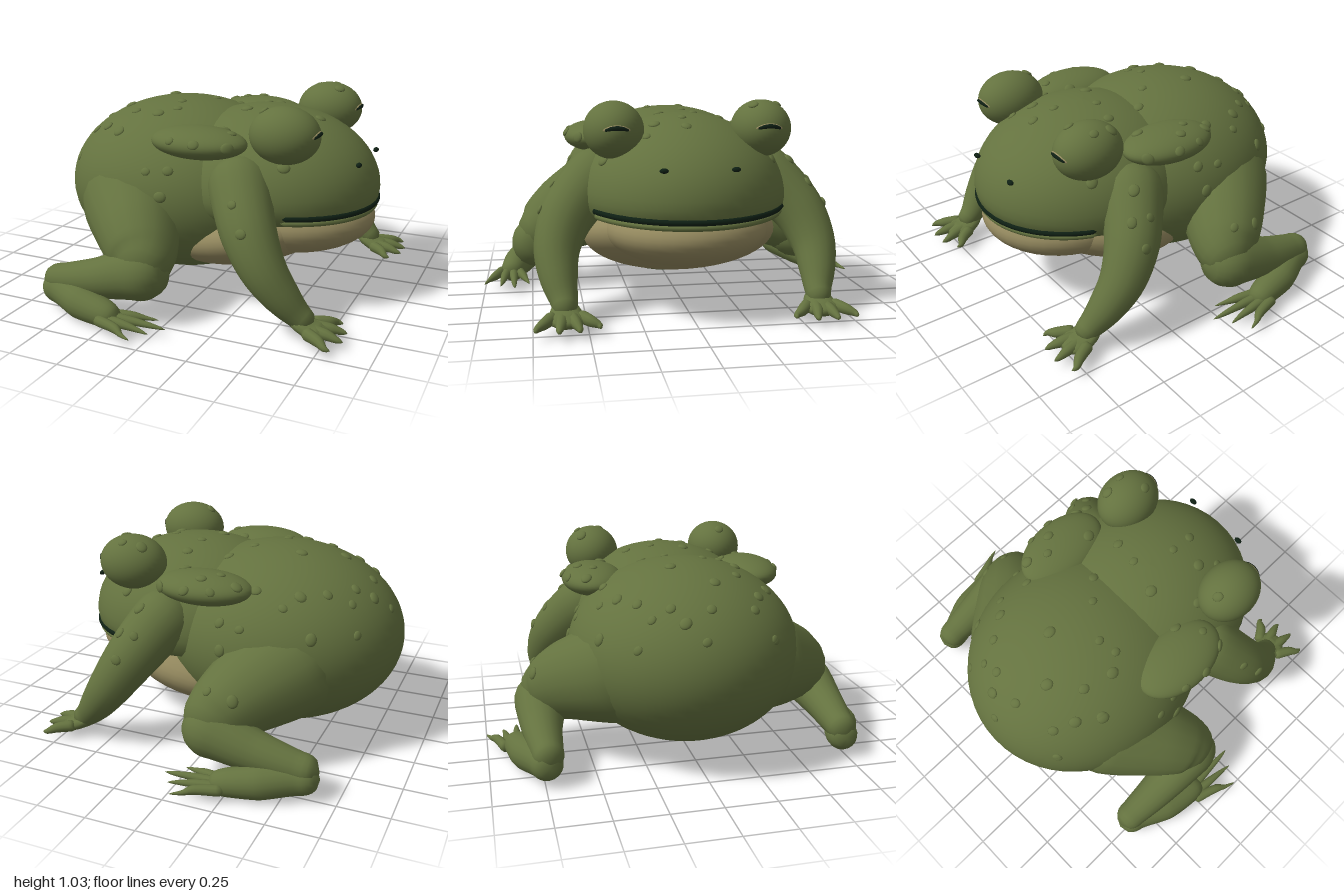
import * as THREE from 'three';
import { mergeVertices } from 'three/addons/utils/BufferGeometryUtils.js';

const mat = (name, color) => Object.assign(new THREE.MeshStandardMaterial({ color }), { name });
const V = (x, y, z) => new THREE.Vector3(x, y, z);

export function createModel() {
  const toad = new THREE.Group();
  toad.name = 'toad';
  const skin = mat('skin green', 0x64723f);
  const pale = mat('belly tan', 0x968b60);
  const dark = mat('mouth dark', 0x0f2014);

  const add = (name, geo, material, parent = toad) => {
    const m = new THREE.Mesh(geo, material);
    m.name = name;
    parent.add(m);
    return m;
  };

  const ellipsoid = (name, material, c, r, parent = toad, seg = 40) => {
    const m = add(name, new THREE.SphereGeometry(1, seg, Math.round(seg * 0.6)), material, parent);
    m.position.set(...c);
    m.scale.set(...r);
    return m;
  };

  // Round-ended tapering tube through points [x, y, z, radius]
  const limb = (name, material, pts, parent = toad, rings = 28, sides = 18, flat = 1) => {
    const curve = new THREE.CatmullRomCurve3(pts.map(p => V(p[0], p[1], p[2])));
    const geo = new THREE.TubeGeometry(curve, rings, 1, sides);
    const pos = geo.attributes.position, len = curve.getLength(), v = V(0, 0, 0);
    for (let i = 0; i <= rings; i++) {
      const u = i / rings, t = curve.getUtoTmapping(u) * (pts.length - 1);
      const k = Math.min(Math.floor(t), pts.length - 2);
      let r = THREE.MathUtils.lerp(pts[k][3], pts[k + 1][3], t - k);
      const d = Math.min(u, 1 - u) * len;
      if (d < r) r *= Math.sqrt(Math.max(0, 1 - (1 - d / r) ** 2));
      const c = curve.getPointAt(u);
      for (let j = 0; j <= sides; j++) {
        const n = i * (sides + 1) + j;
        v.fromBufferAttribute(pos, n).sub(c).multiplyScalar(r);
        pos.setXYZ(n, c.x + v.x, c.y + v.y * flat, c.z + v.z);
      }
    }
    geo.deleteAttribute('uv');
    geo.deleteAttribute('normal');
    const out = mergeVertices(geo, 1e-5);
    out.computeVertexNormals();
    return add(name, out, material, parent);
  };

  // Body, belly and throat
  ellipsoid('body', skin, [-0.22, 0.515, 0], [0.63, 0.453, 0.58], toad, 56);
  ellipsoid('belly', pale, [0.18, 0.345, 0], [0.49, 0.2, 0.49]).rotation.z = 0.22;
  ellipsoid('throat', pale, [0.36, 0.41, 0], [0.445, 0.18, 0.405]);

  // Head: domed above, flat under the jaw
  const profile = [[0, -0.11], [0.8, -0.11], [0.93, -0.09], [0.985, -0.05]];
  for (let i = 0; i <= 16; i++) {
    const a = i / 16 * Math.PI / 2;
    profile.push([Math.max(0, Math.cos(a)), 0.4 * Math.sin(a)]);
  }
  const head = add('head', new THREE.LatheGeometry(profile.map(p => new THREE.Vector2(...p)), 48), skin);
  head.position.set(0.25, 0.56, 0);
  head.scale.set(0.57, 1, 0.515);

  // Mouth line and lower lip
  const lip = (name, material, y, r, k) => {
    const pts = [];
    for (let i = -6; i <= 6; i++) {
      const a = i / 6 * 1.15;
      pts.push([0.25 + 0.57 * k * Math.cos(a), y + 0.02 * (1 - Math.cos(a)), 0.515 * k * Math.sin(a), r]);
    }
    limb(name, material, pts, toad, 48, 10);
  };
  lip('mouthLine', dark, 0.506, 0.015, 0.977);
  lip('lowerLip', skin, 0.48, 0.015, 0.96);

  for (const s of [1, -1]) {
    const side = new THREE.Group();
    side.name = s > 0 ? 'leftSide' : 'rightSide';
    toad.add(side);
    const flip = pts => pts.map(([x, y, z, r]) => [x, y, z * s, r]);

    // Eye bulge with a sleepy slit, gland behind it, nostril
    ellipsoid('eyeBulge', skin, [0.455, 0.893, 0.355 * s], [0.172, 0.137, 0.143], side);
    const slit = (name, material, y, r, half, bow, sink) => limb(name, material, flip([-1, -0.5, 0, 0.5, 1].map(q => {
      const yy = y - bow * q * q, dz = q * half;
      const x = 0.455 - sink + 0.172 * Math.sqrt(1 - ((yy - 0.893) / 0.137) ** 2 - (dz / 0.143) ** 2);
      return [x, yy, 0.355 + dz, r * (1 - 0.5 * q * q)];
    })), side, 24, 8);
    slit('eyelid', pale, 0.916, 0.013, 0.065, 0.016, 0.007);
    slit('eyeSlit', dark, 0.914, 0.012, 0.055, 0.012, 0.002);
    ellipsoid('gland', skin, [0.04, 0.833, 0.415 * s], [0.245, 0.078, 0.155], side);
    ellipsoid('nostril', dark, [0.762, 0.735, 0.163 * s], [0.014, 0.012, 0.021], side, 12);

    // Front leg and webbed hand
    limb('frontLeg', skin, flip([[0.2, 0.72, 0.32, 0.16], [0.28, 0.61, 0.46, 0.15], [0.37, 0.47, 0.58, 0.132],
      [0.46, 0.33, 0.63, 0.11], [0.55, 0.21, 0.625, 0.088], [0.63, 0.12, 0.605, 0.062], [0.7, 0.07, 0.6, 0.05]]), side);
    limb('hand', skin, flip([[0.59, 0.12, 0.605, 0.06], [0.66, 0.078, 0.6, 0.075], [0.71, 0.06, 0.597, 0.088],
      [0.78, 0.05, 0.595, 0.075]]), side, 18, 14, 0.4);
    for (const [x, z] of [[0.8, 0.455], [0.845, 0.545], [0.85, 0.635], [0.82, 0.735]]) {
      const bz = 0.6 + (z - 0.6) * 0.4;
      limb('finger', skin, flip([[0.67, 0.07, bz, 0.032], [(0.69 + x) / 2, 0.062, bz + (z - bz) * 0.6, 0.026],
        [x - 0.025, 0.05, z, 0.014], [x, 0.045, z, 0.004]]), side, 14, 10);
    }

    // Hind leg folded: thigh, shin, long foot
    limb('thigh', skin, flip([[-0.48, 0.54, 0.13, 0.26], [-0.36, 0.455, 0.36, 0.26], [-0.22, 0.38, 0.56, 0.21],
      [-0.12, 0.3, 0.71, 0.155], [-0.09, 0.27, 0.815, 0.135]]), side);
    limb('shin', skin, flip([[0.015, 0.26, 0.7, 0.13], [-0.14, 0.245, 0.72, 0.135], [-0.35, 0.19, 0.735, 0.1],
      [-0.56, 0.15, 0.73, 0.075], [-0.66, 0.14, 0.725, 0.07]]), side);
    limb('foot', skin, flip([[-0.665, 0.11, 0.73, 0.075], [-0.56, 0.1, 0.745, 0.078], [-0.4, 0.085, 0.815, 0.083],
      [-0.26, 0.07, 0.85, 0.068], [-0.17, 0.055, 0.865, 0.05]]), side);
    for (const [x, z] of [[-0.01, 0.765], [0.065, 0.84], [0.015, 0.915], [-0.035, 1.0]]) {
      const bz = 0.865 + (z - 0.865) * 0.3;
      limb('toe', skin, flip([[-0.27, 0.06, bz, 0.028], [-0.13, 0.058, (bz + z) / 2, 0.022],
        [x - 0.06, 0.05, z - (z - bz) * 0.25, 0.012], [x, 0.043, z, 0.003]]), side, 14, 10);
    }
  }

  // Warts dropped onto the skin along a ray
  toad.updateMatrixWorld(true);
  const targets = [];
  toad.traverse(o => { if (o.isMesh && o.material === skin) targets.push(o); });
  const warts = new THREE.Group();
  warts.name = 'warts';
  const wartGeo = new THREE.SphereGeometry(1, 14, 8);
  const wart = (from, dir, r) => {
    const hit = new THREE.Raycaster(from, dir).intersectObjects(targets, false)[0];
    if (!hit) return;
    const n = hit.face.normal.clone().applyNormalMatrix(new THREE.Matrix3().getNormalMatrix(hit.object.matrixWorld));
    const m = add('wart', wartGeo, skin, warts);
    m.position.copy(hit.point);
    m.quaternion.setFromUnitVectors(V(0, 0, 1), n.normalize());
    m.scale.set(r, r * 0.85, r * 0.4);
  };
  // Back, seen as x, z
  [[-0.65, -0.25], [-0.64, -0.16], [-0.72, -0.11], [-0.79, -0.03], [-0.68, 0.02], [-0.34, -0.09], [-0.08, -0.06],
    [0.02, -0.16], [-0.52, 0.08], [-0.2, 0.11], [-0.41, 0.22], [-0.26, 0.26], [-0.18, 0.2], [-0.64, 0.24],
    [-0.54, 0.29], [-0.7, 0.32], [-0.43, 0.36], [0.16, 0.1], [0.21, -0.07], [0.23, -0.2], [0.17, -0.35],
    [0.4, 0.02], [0.52, 0.02], [-0.52, -0.47], [-0.37, -0.44], [-0.22, -0.4], [-0.15, -0.47], [-0.05, -0.42],
    [0.02, -0.49], [0.37, -0.42], [0.47, -0.43], [0.52, -0.3], [0.13, 0.3], [0.21, 0.41], [0.35, 0.36],
    [0.44, 0.16], [0.53, 0.21], [0.3, 0.29], [-0.25, -0.76], [-0.12, -0.75], [0.4, -0.62], [0.33, -0.54]]
    .forEach(([x, z], i) => wart(V(x, 2, z), V(0, -1, 0), 0.024 + 0.004 * (i % 3)));
  // Flanks, seen as x, y
  for (const s of [1, -1]) {
    [[-0.7, 0.66], [-0.54, 0.83], [-0.43, 0.83], [-0.19, 0.69], [-0.08, 0.7], [-0.1, 0.58], [0.31, 0.62],
      [0.38, 0.51], [0.47, 0.75], [-0.05, 0.86], [0.08, 0.855], [0.23, 0.84]]
      .forEach(([x, y], i) => wart(V(x, y, 2 * s), V(0, 0, -s), 0.024 + 0.004 * (i % 3)));
  }
  toad.add(warts);
  return toad;
}
